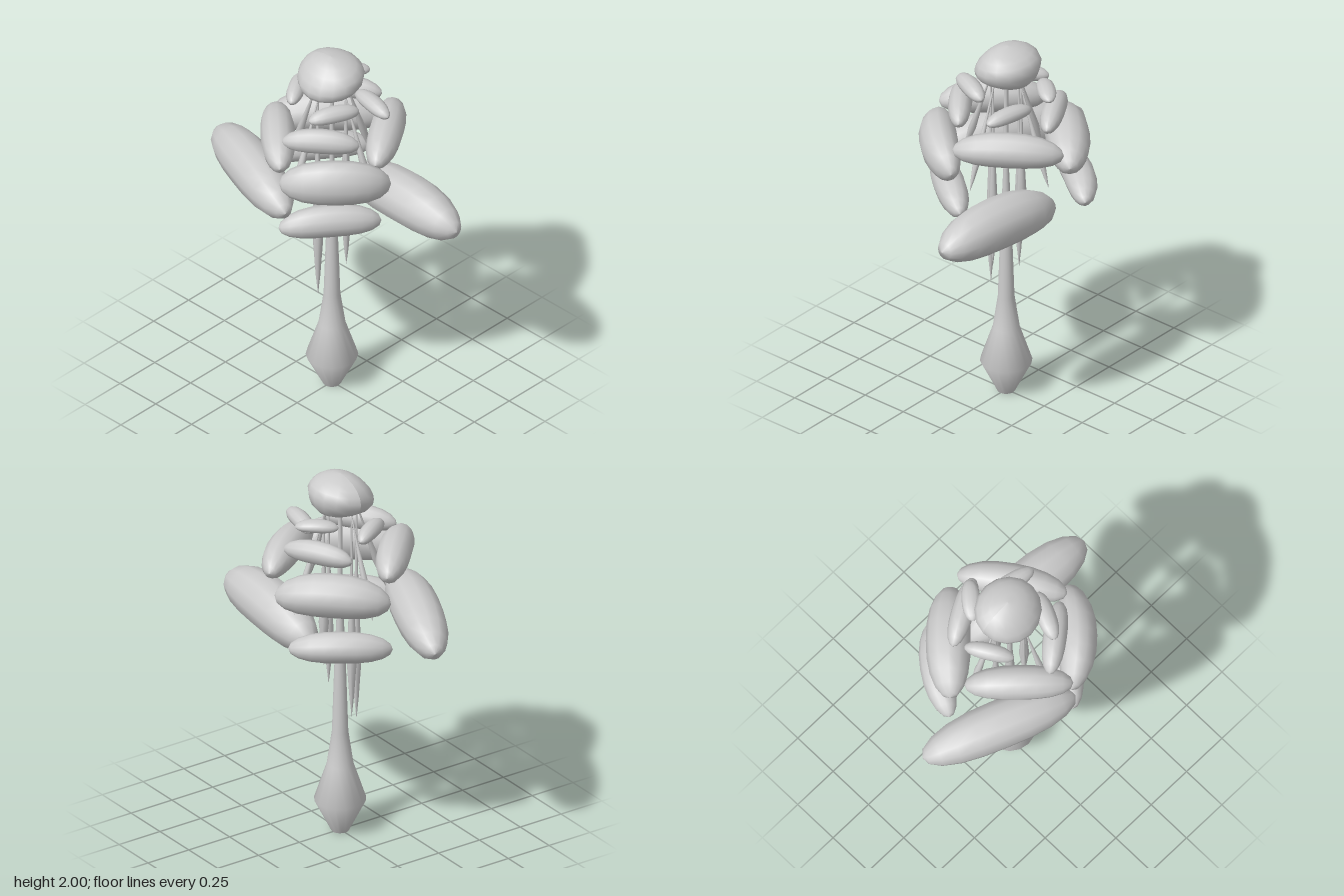
import * as THREE from 'three';

const mat = new THREE.MeshStandardMaterial({ color: 0xcccccc });
const UP = new THREE.Vector3(0, 1, 0);

// Foliage cushion lying between two points: blunt ends, arched upward, bowed away from the trunk
function cushion(name, a, b, height, width, bow = 0) {
  const A = new THREE.Vector3(...a), B = new THREE.Vector3(...b);
  const length = A.distanceTo(B);
  const outward = Math.sign((A.x + B.x) * (A.z - B.z) + (A.z + B.z) * (B.x - A.x));
  const geo = new THREE.SphereGeometry(1, 12, 10);
  geo.rotateZ(Math.PI / 2);
  const p = geo.attributes.position;
  for (let i = 0; i < p.count; i++) {
    const t = p.getX(i);
    const ring = Math.sqrt(Math.max(1 - t * t, 1e-9));
    const r = Math.sqrt(Math.max(1 - Math.pow(Math.abs(t), 2.5), 0)) / ring;
    p.setXYZ(i, t * length / 2,
      (p.getY(i) * r + 0.08 - 0.24 * t * t) * height / 2,
      p.getZ(i) * r * width / 2 + outward * bow * (1 - t * t));
  }
  geo.computeVertexNormals();
  const mesh = new THREE.Mesh(geo, mat);
  mesh.name = name;
  mesh.position.copy(A).add(B).multiplyScalar(0.5);
  mesh.rotation.y = Math.atan2(A.z - B.z, B.x - A.x);
  mesh.rotateZ(Math.asin((B.y - A.y) / length));
  return mesh;
}

// Thin stem that swells near its pointed lower tip
function spindle(name, top, tip, radius) {
  const T = new THREE.Vector3(...top), P = new THREE.Vector3(...tip);
  const len = T.distanceTo(P);
  const pts = [[0.001, 0], [0.45, 0.1], [1, 0.28], [0.65, 0.48], [0.3, 0.7], [0.15, 1]]
    .map(([r, h]) => new THREE.Vector2(r * radius, h * len));
  const mesh = new THREE.Mesh(new THREE.LatheGeometry(pts, 8), mat);
  mesh.name = name;
  mesh.position.copy(P);
  mesh.quaternion.setFromUnitVectors(UP, T.sub(P).normalize());
  return mesh;
}

export function createModel() {
  const model = new THREE.Group();
  model.name = 'tree';

  // Trunk with a bulbous foot and a flat base
  const profile = [[0.045, 0], [0.132, 0.175], [0.068, 0.37], [0.042, 0.55], [0.027, 1.0],
    [0.014, 1.3], [0.01, 1.85]].map(([r, y]) => new THREE.Vector2(r, y));
  const trunk = new THREE.Mesh(new THREE.LatheGeometry(profile, 16), mat);
  trunk.name = 'trunk';
  const base = new THREE.Mesh(new THREE.CircleGeometry(0.045, 16).rotateX(Math.PI / 2), mat);
  base.name = 'trunkBase';
  model.add(trunk, base);

  // Domed top: peaked above, boxier below, lower at the front
  const crownGeo = new THREE.SphereGeometry(1, 16, 10);
  const cp = crownGeo.attributes.position;
  for (let i = 0; i < cp.count; i++) {
    const x = cp.getX(i), y = cp.getY(i), z = cp.getZ(i);
    const flare = y < 0 ? 1 + 0.4 * y * y : 1 - 0.2 * y;
    cp.setXYZ(i, x, y - 0.25 * z * (1 - y * y), z * flare);
  }
  crownGeo.scale(0.176, 0.108, 0.163);
  crownGeo.computeVertexNormals();
  const crown = new THREE.Mesh(crownGeo, mat);
  crown.name = 'crown';
  crown.position.set(-0.01, 1.892, -0.003);
  model.add(crown);

  // Foliage cushions: ends, height, width, bow
  const foliage = new THREE.Group();
  foliage.name = 'foliage';
  const pads = [
    // lowest ring
    [[-0.705, 1.265, 0.085], [0.065, 1.295, 0.4], 0.25, 0.25],
    [[-0.08, 1.155, -0.235], [0.7, 1.205, -0.175], 0.265, 0.27],
    [[0.35, 1.192, 0.005], [0.03, 1.192, 0.415], 0.17, 0.16],
    [[-0.44, 1.2, 0.012], [-0.13, 1.2, -0.41], 0.16, 0.165, 0.025],
    // middle ring
    [[0.418, 1.455, 0.005], [0.03, 1.47, 0.41], 0.24, 0.195, 0.035],
    [[-0.43, 1.455, 0.008], [-0.012, 1.455, -0.41], 0.225, 0.225, 0.01],
    [[-0.357, 1.555, 0.035], [0.037, 1.555, 0.412], 0.185, 0.175],
    [[0.035, 1.55, -0.41], [0.353, 1.55, 0.053], 0.18, 0.175, 0.01],
    // upper ring
    [[-0.28, 1.655, -0.125], [0.05, 1.655, -0.308], 0.12, 0.115],
    [[-0.037, 1.643, 0.32], [0.272, 1.643, 0.083], 0.13, 0.12],
    [[0.01, 1.715, -0.17], [0.28, 1.718, -0.113], 0.08, 0.095],
    [[-0.15, 1.787, -0.115], [-0.005, 1.787, -0.28], 0.065, 0.095],
    [[-0.262, 1.74, -0.06], [-0.13, 1.74, 0.16], 0.085, 0.09],
    [[0.075, 1.776, 0.243], [0.19, 1.776, 0.0], 0.085, 0.1],
  ];
  pads.forEach(([a, b, ...size], i) => foliage.add(cushion('foliageCushion' + (i + 1), a, b, ...size)));
  model.add(foliage);

  // Hanging roots and splayed branches on the four sides
  [[-1, 0, 0.67], [1, 0, 0.775], [0, 1, 0.59], [0, -1, 0.95]].forEach(([x, z, tipY], i) => {
    model.add(spindle('hangingRoot' + (i + 1), [x * 0.1, 1.8, z * 0.1], [x * 0.1, tipY, z * 0.1], 0.026));
    model.add(spindle('branch' + (i + 1), [x * 0.08, 1.85, z * 0.08], [x * 0.28, 1.28, z * 0.28], 0.02));
  });
  return model;
}
